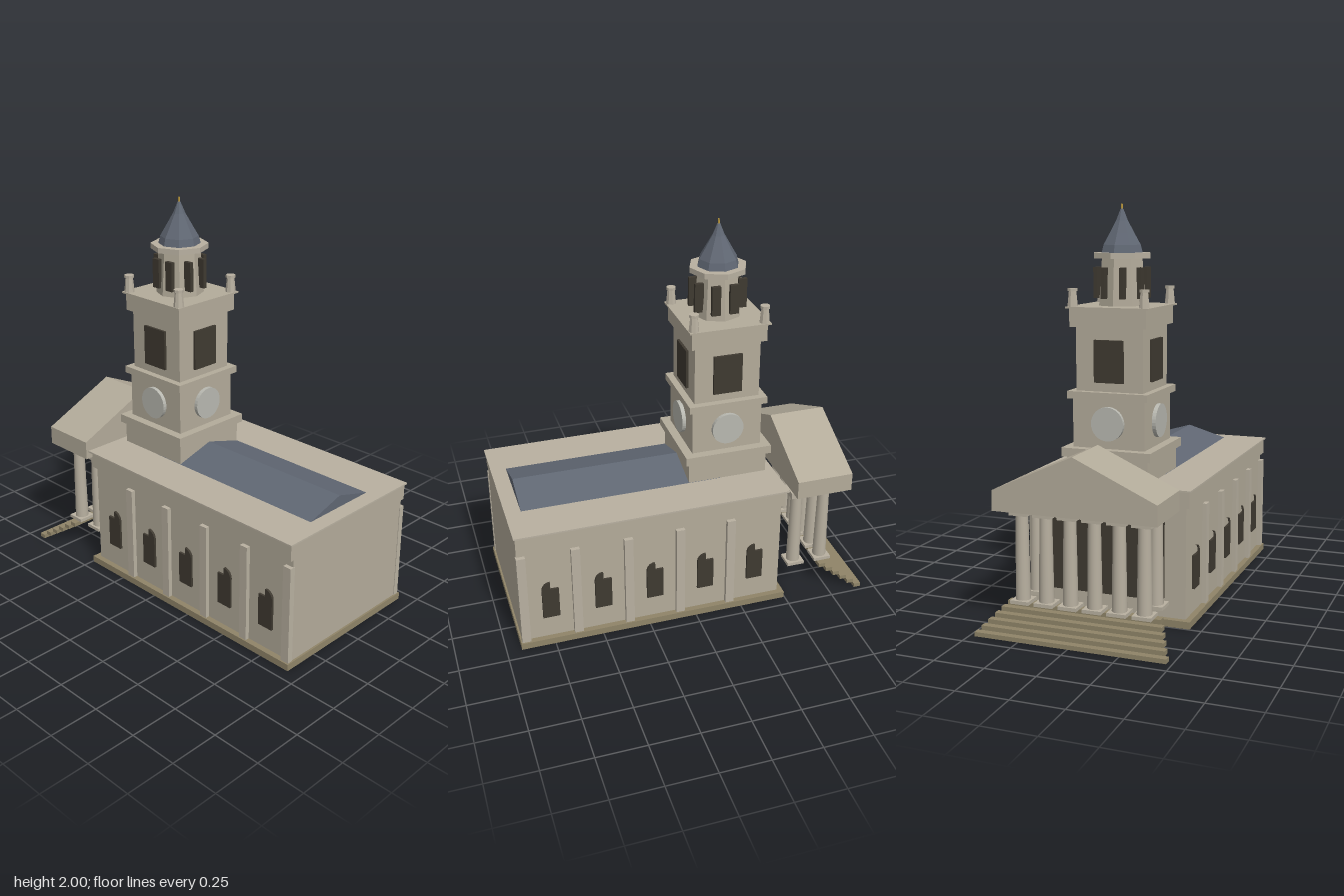
import * as THREE from 'three';

const mat = (color) => new THREE.MeshStandardMaterial({ color, flatShading: true, side: THREE.DoubleSide });
const stone = mat(0xb3ab9a), trim = mat(0xb8b0a0), plinth = mat(0x8f8468);
const slate = mat(0x606773), dark = mat(0x3f3a31), dial = mat(0xb8b8b0), gold = mat(0xb8963c);
const smoothStone = new THREE.MeshStandardMaterial({ color: 0xb8b0a0 });

const TOWER_X = -0.24;

export function createModel() {
  const root = new THREE.Group();
  root.name = 'church';

  const add = (parent, name, geometry, material, x = 0, y = 0, z = 0) => {
    const mesh = new THREE.Mesh(geometry, material);
    mesh.name = name;
    mesh.position.set(x, y, z);
    parent.add(mesh);
    return mesh;
  };
  // Box given by its extents on each axis
  const box = (parent, name, material, x0, x1, y0, y1, z0, z1) =>
    add(parent, name, new THREE.BoxGeometry(x1 - x0, y1 - y0, z1 - z0), material,
      (x0 + x1) / 2, (y0 + y1) / 2, (z0 + z1) / 2);
  const group = (name, x = 0, y = 0, z = 0) => {
    const g = new THREE.Group();
    g.name = name;
    g.position.set(x, y, z);
    root.add(g);
    return g;
  };
  // Gabled block along x, from a cross-section of [z, y] points
  const gable = (parent, name, material, points, x0, x1) => {
    const shape = new THREE.Shape(points.map(([z, y]) => new THREE.Vector2(-z, y)));
    const geo = new THREE.ExtrudeGeometry(shape, { depth: x1 - x0, bevelEnabled: false });
    geo.rotateY(Math.PI / 2);
    return add(parent, name, geo, material, x0, 0, 0);
  };

  // Main hall
  const hall = group('hall');
  box(hall, 'plinth', plinth, -0.495, 0.925, 0, 0.035, -0.44, 0.44);
  box(hall, 'walls', stone, -0.465, 0.915, 0.035, 0.585, -0.41, 0.41);
  box(hall, 'entablature', stone, -0.478, 0.917, 0.583, 0.665, -0.43, 0.43);
  box(hall, 'cornice', trim, -0.495, 0.925, 0.665, 0.673, -0.44, 0.44);
  gable(hall, 'roof', slate, [[-0.215, 0.672], [0.215, 0.672], [0, 0.735]], -0.2, 0.845);
  box(hall, 'door', dark, -0.508, -0.465, 0.13, 0.59, -0.303, 0.303);

  // Side windows and pilasters
  for (const side of [-1, 1]) {
    for (let i = 0; i < 5; i++) {
      const x = -0.325 + i * 0.271;
      add(hall, 'window', new THREE.BoxGeometry(0.086, 0.168, 0.024), dark, x, 0.241, side * 0.41);
      const arch = new THREE.CylinderGeometry(0.043, 0.043, 0.024, 10, 1, false, 0, Math.PI);
      arch.rotateX(Math.PI / 2);
      add(hall, 'windowArch', arch, dark, x, 0.324, side * 0.41);
      add(hall, 'pilaster', new THREE.BoxGeometry(0.045, 0.51, 0.03), trim, x + 0.137, 0.29, side * 0.417);
    }
  }

  // Portico with its columns
  const portico = group('portico');
  gable(portico, 'pediment', stone,
    [[-0.407, 0.592], [0.407, 0.592], [0.407, 0.69], [0, 0.875], [-0.407, 0.69]], -0.86, -0.557);
  const column = (x, z) => {
    box(portico, 'columnBase', trim, x - 0.047, x + 0.047, 0.13, 0.147, z - 0.047, z + 0.047);
    add(portico, 'columnShaft', new THREE.CylinderGeometry(0.03, 0.036, 0.415, 16), smoothStone, x, 0.354, z);
    box(portico, 'columnCapital', trim, x - 0.047, x + 0.047, 0.56, 0.593, z - 0.047, z + 0.047);
  };
  for (let i = 0; i < 6; i++) column(-0.75, -0.307 + i * 0.1228);
  for (const z of [-0.307, 0.307]) column(-0.595, z);

  // Front steps, each higher and narrower
  const steps = group('steps');
  for (let i = 0; i < 6; i++) {
    const x = -0.93 + i * 0.035, y = i * 0.0217, w = 0.474 - i * 0.0175;
    box(steps, 'step', plinth, x, x + 0.037, y, y + 0.0215, -w, w);
  }

  // Tower stages: half width, bottom, top
  const tower = group('tower', TOWER_X);
  const stages = [
    ['towerBase', 0.21, 0.67, 0.786], ['lowerCornice', 0.23, 0.786, 0.83],
    ['clockStage', 0.185, 0.83, 1.07], ['middleCornice', 0.207, 1.07, 1.106],
    ['belfry', 0.172, 1.106, 1.415], ['upperEntablature', 0.196, 1.415, 1.505],
    ['upperCornice', 0.211, 1.505, 1.513],
  ];
  for (const [name, h, y0, y1] of stages) box(tower, name, stone, -h, h, y0, y1, -h, h);

  // Dials and louvres on all four faces
  for (let i = 0; i < 4; i++) {
    const face = new THREE.Group();
    face.name = 'towerFace';
    face.rotation.y = i * Math.PI / 2;
    tower.add(face);
    const disc = new THREE.CylinderGeometry(0.083, 0.083, 0.03, 32);
    disc.rotateX(Math.PI / 2);
    add(face, 'clockDial', disc, dial, 0, 0.953, 0.19);
    box(face, 'belfryLouvre', dark, -0.075, 0.075, 1.15, 1.356, 0.165, 0.185);
  }

  // Corner finials
  for (const x of [-0.183, 0.183]) for (const z of [-0.183, 0.183]) {
    add(tower, 'finial', new THREE.CylinderGeometry(0.019, 0.027, 0.078, 8), trim, x, 1.55, z);
    add(tower, 'finialCap', new THREE.CylinderGeometry(0.025, 0.025, 0.014, 8), trim, x, 1.594, z);
  }

  // Octagonal lantern
  add(tower, 'lantern', new THREE.CylinderGeometry(0.106, 0.122, 0.23, 8), stone, 0, 1.627, 0);
  for (let i = 0; i < 8; i++) {
    const a = (i + 0.5) * Math.PI / 4;
    add(tower, 'lanternLouvre', new THREE.BoxGeometry(0.045, 0.15, 0.021), dark,
      Math.cos(a) * 0.122, 1.623, Math.sin(a) * 0.122);
  }
  add(tower, 'lanternCornice', new THREE.CylinderGeometry(0.147, 0.147, 0.027, 8), trim, 0, 1.754, 0);

  // Curved eight-sided spire
  const profile = [[0, 1.767], [0.107, 1.767], [0.097, 1.805], [0.065, 1.86],
    [0.031, 1.92], [0.008, 1.975], [0, 1.98]].map(([r, y]) => new THREE.Vector2(r, y));
  add(tower, 'spire', new THREE.LatheGeometry(profile, 8), slate);
  add(tower, 'spireTip', new THREE.CylinderGeometry(0.004, 0.006, 0.035, 8), gold, 0, 1.9825, 0);

  return root;
}
